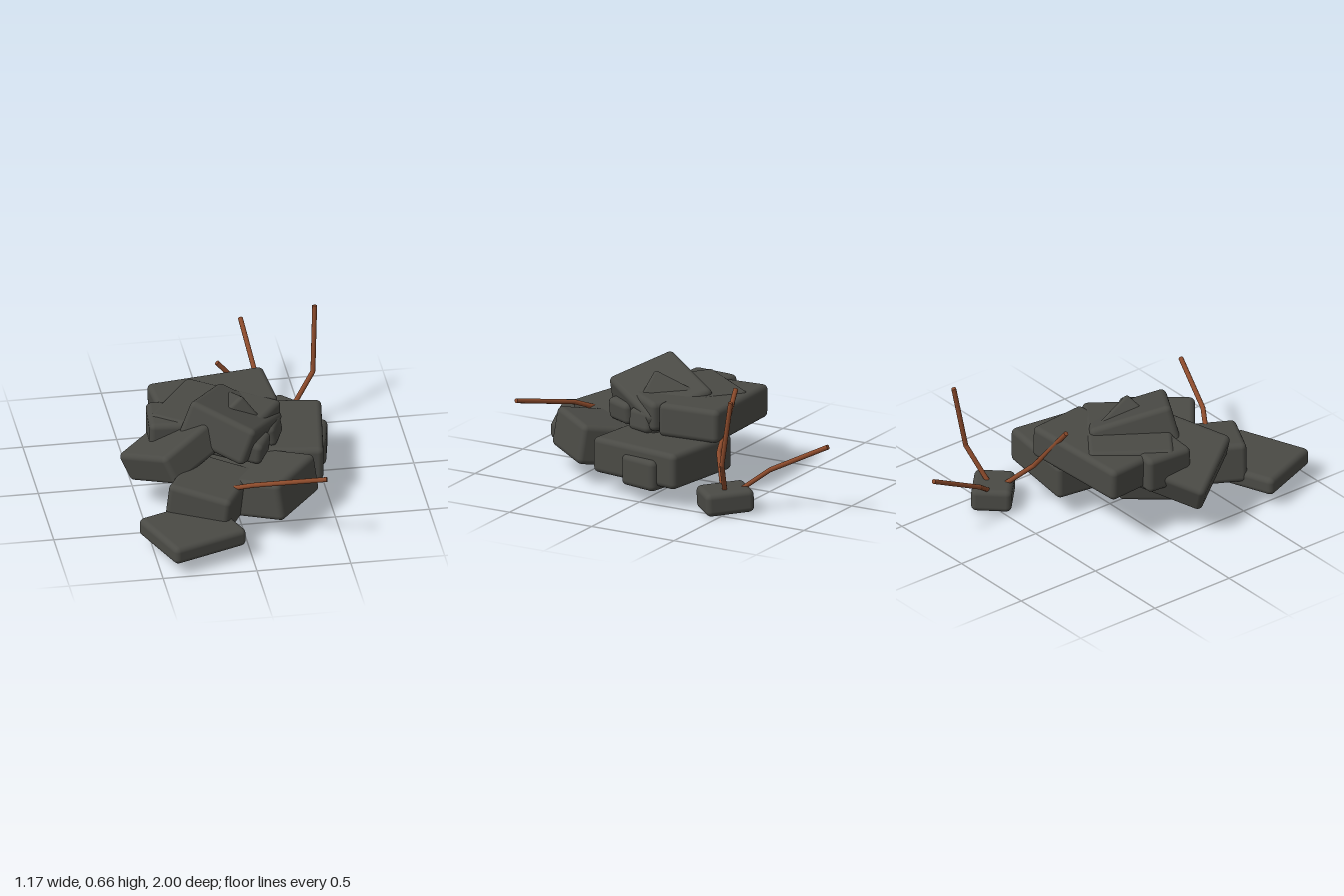
import * as THREE from 'three';
import { RoundedBoxGeometry } from 'three/addons/geometries/RoundedBoxGeometry.js';

const concrete = new THREE.MeshStandardMaterial({ color: 0x4a4a45 });
concrete.name = 'concrete';
const rust = new THREE.MeshStandardMaterial({ color: 0x8b4a2b });
rust.name = 'rustedSteel';

// Rounded chunk: centre, size, then pitch / yaw / roll in radians
function chunk(name, pos, size, [pitch, yaw, roll], radius = 0.03) {
  const mesh = new THREE.Mesh(new RoundedBoxGeometry(...size, 3, radius), concrete);
  mesh.name = name;
  mesh.position.set(...pos);
  mesh.rotation.set(pitch, yaw, roll, 'YXZ');
  return mesh;
}

// Bent bar: straight cylinders between points, with a ball at each bend
function rebar(name, points, r = 0.013) {
  const group = new THREE.Group();
  group.name = name;
  const pts = points.map((p) => new THREE.Vector3(...p));
  for (let i = 0; i < pts.length - 1; i++) {
    const dir = pts[i + 1].clone().sub(pts[i]);
    const bar = new THREE.Mesh(new THREE.CylinderGeometry(r, r, dir.length(), 10), rust);
    bar.name = 'barSegment';
    bar.position.copy(pts[i]).addScaledVector(dir, 0.5);
    bar.quaternion.setFromUnitVectors(new THREE.Vector3(0, 1, 0), dir.normalize());
    group.add(bar);
    if (i > 0) {
      const bend = new THREE.Mesh(new THREE.SphereGeometry(r, 10, 6), rust);
      bend.name = 'barBend';
      bend.position.copy(pts[i]);
      group.add(bend);
    }
  }
  return group;
}

export function createModel() {
  const model = new THREE.Group();
  model.name = 'rubblePile';

  // Ground layer; the long block leans up and out from under the pile
  model.add(
    chunk('frontSlab', [-0.3, 0.12, 0.74], [0.435, 0.1, 0.4], [0, 0.37, 0]),
    chunk('frontBlock', [-0.17, 0.2, 0.5], [0.35, 0.22, 0.4], [0, -0.5, -0.12]),
    chunk('longLeaningBlock', [0.06, 0.178, 0.365], [0.62, 0.215, 0.4], [0, -0.68, 0.165]),
    chunk('rightBlock', [0.26, 0.207, 0.0], [0.5, 0.195, 0.55], [0, -0.14, 0]),
    chunk('rightLowBlock', [0.4, 0.168, -0.03], [0.28, 0.17, 0.23], [0, -0.2, 0]),
  );

  // Middle layer
  model.add(
    chunk('backSlab', [-0.05, 0.38, -0.13], [0.63, 0.18, 0.35], [0, 0.08, 0.035]),
    chunk('leftBlock', [-0.32, 0.33, 0.22], [0.4, 0.17, 0.42], [-0.36, 0.515, 0.28]),
    chunk('leftBackBlock', [-0.25, 0.37, 0.08], [0.36, 0.2, 0.27], [0, -0.08, 0]),
    chunk('smallFrontChunk', [0.09, 0.36, 0.305], [0.15, 0.12, 0.18], [0, -0.45, -0.1]),
    chunk('smallRightChunk', [0.19, 0.35, 0.13], [0.14, 0.12, 0.17], [0.08, -0.4, 0.15]),
  );

  // Top layer
  model.add(
    chunk('topSlab', [-0.07, 0.398, 0.07], [0.56, 0.16, 0.46], [0, -0.62, 0]),
    chunk('topBlock', [0.0, 0.413, 0.15], [0.39, 0.21, 0.45], [-0.25, -0.52, -0.28]),
    chunk('topRidge', [0.005, 0.385, 0.045], [0.22, 0.2, 0.38], [-0.37, 0.15, 0.6], 0.02),
  );

  // Stray chunk at the back
  model.add(chunk('strayChunk', [0.402, 0.068, -0.465], [0.265, 0.125, 0.215], [0, -0.76, -0.04]));

  // Bent reinforcing bars
  model.add(
    rebar('backBar', [[0.38, 0.09, -0.5], [0.27, 0.22, -0.66], [0.24, 0.39, -0.995]]),
    rebar('uprightBar', [[0.41, 0.09, -0.47], [0.55, 0.3, -0.53], [0.57, 0.66, -0.595]]),
    rebar('innerBar', [[0.37, 0.1, -0.43], [0.23, 0.25, -0.325], [0, 0.535, -0.295]]),
    rebar('frontBar', [[-0.055, 0.283, 0.6], [0.04, 0.325, 0.66], [0.405, 0.407, 0.805]]),
  );
  return model;
}
